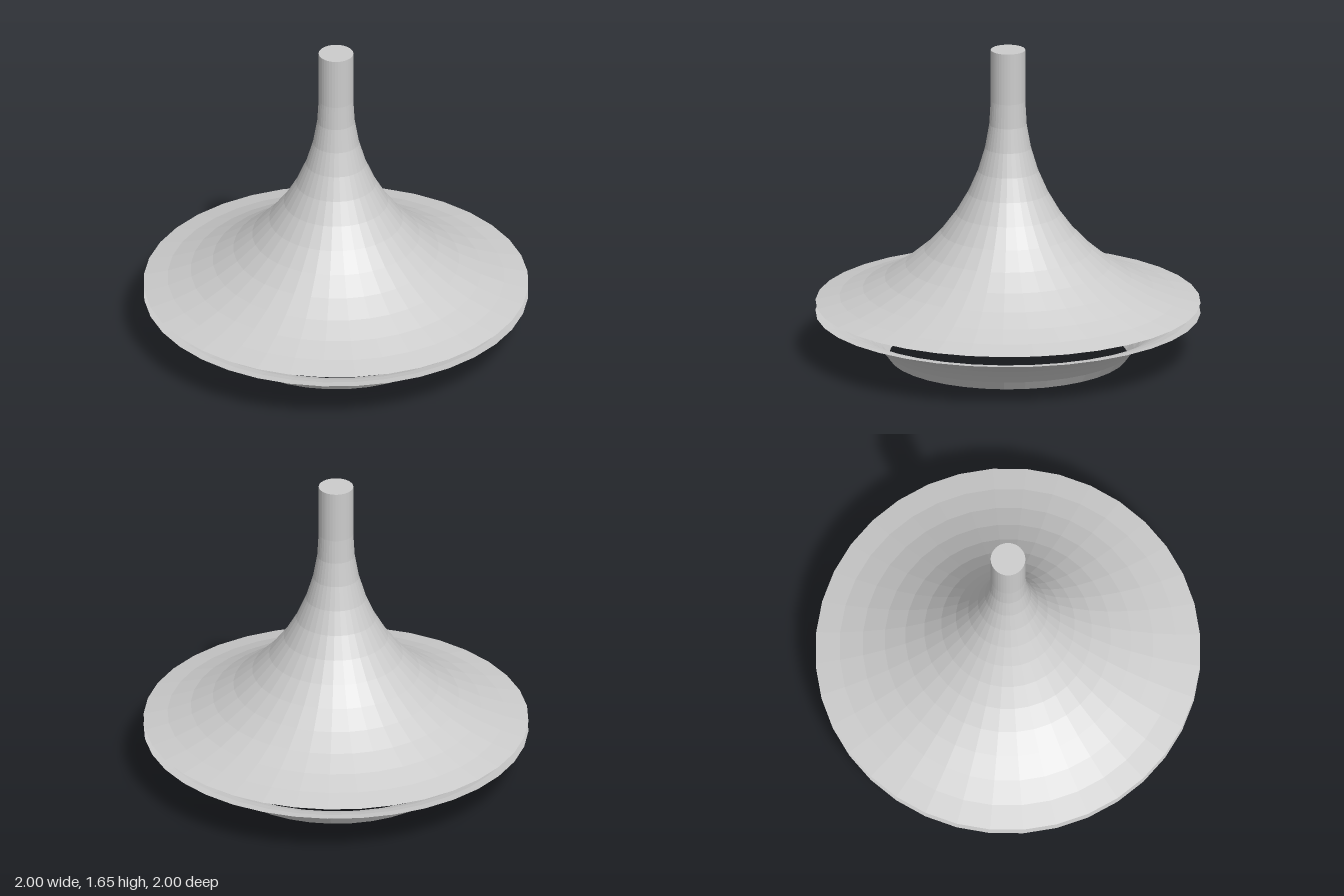
import * as THREE from 'three';

const SEGMENTS = 36;

// Points along a circular arc, angles in radians
function arc(cx, cy, radius, from, to, steps) {
  return Array.from({ length: steps + 1 }, (_, i) => {
    const a = from + ((to - from) * i) / steps;
    return new THREE.Vector2(cx + radius * Math.cos(a), cy + radius * Math.sin(a));
  });
}

export function createModel() {
  const group = new THREE.Group();
  group.name = 'flaredStand';

  const grey = new THREE.MeshStandardMaterial({ color: 0xcccccc, flatShading: true, side: THREE.DoubleSide });
  grey.name = 'light grey';

  const addLathe = (name, profile) => {
    const mesh = new THREE.Mesh(new THREE.LatheGeometry(profile, SEGMENTS), grey);
    mesh.name = name;
    group.add(mesh);
  };

  // Upper horn: arc from the wide rim up into the stem
  const stemR = 0.09, rimY = 0.29, stemY = 1.38, topY = 1.655;
  const w = 1 - stemR, h = stemY - rimY;
  const R = (w * w + h * h) / (2 * w);
  const cx = stemR + R;
  const rimAngle = Math.PI + Math.atan2(h, cx - 1);
  addLathe('upperHorn', arc(cx, stemY, R, rimAngle, Math.PI, 12));

  // Straight stem with a closed top
  addLathe('stem', [
    new THREE.Vector2(stemR, stemY),
    new THREE.Vector2(stemR, topY),
    new THREE.Vector2(0, topY),
  ]);

  // Lower flared ring, open at the foot and at the rim
  const foot = Math.atan2(0.27, -0.43), lip = Math.atan2(0.507, -0.05);
  addLathe('lowerFlare', arc(1.05, -0.27, 0.508, foot, lip, 8));

  return group;
}
